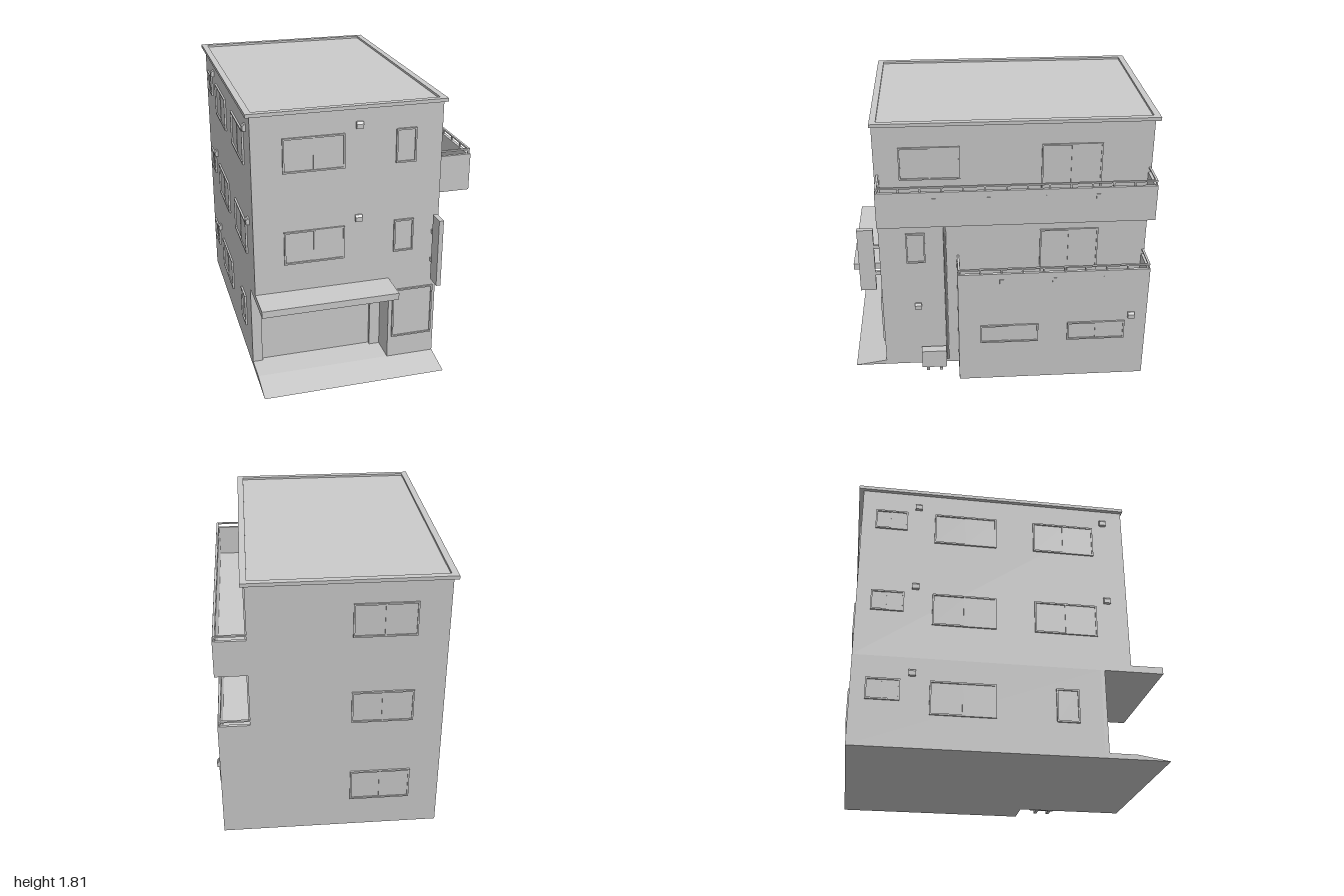
import * as THREE from 'three';

const mat = new THREE.MeshStandardMaterial({ color: 0xcccccc, flatShading: true });

// Box given by its min and max on each axis
function box(parent, name, x0, x1, y0, y1, z0, z1) {
  const mesh = new THREE.Mesh(new THREE.BoxGeometry(x1 - x0, y1 - y0, z1 - z0), mat);
  mesh.position.set((x0 + x1) / 2, (y0 + y1) / 2, (z0 + z1) / 2);
  mesh.name = name;
  parent.add(mesh);
  return mesh;
}

function rect(Type, x0, x1, y0, y1) {
  const r = new Type();
  r.moveTo(x0, y0);
  r.lineTo(x1, y0);
  r.lineTo(x1, y1);
  r.lineTo(x0, y1);
  r.closePath();
  return r;
}

// Rectangular ring, extruded along z from z = 0
function ring(x0, x1, y0, y1, t, depth) {
  const s = rect(THREE.Shape, x0, x1, y0, y1);
  s.holes.push(rect(THREE.Path, x0 + t, x1 - t, y0 + t, y1 - t));
  return new THREE.ExtrudeGeometry(s, { depth, bevelEnabled: false });
}

// Profile in (z, y), extruded along x
function sideProfile(points, x0, x1) {
  const s = new THREE.Shape(points.map(([z, y]) => new THREE.Vector2(-z, y)));
  const g = new THREE.ExtrudeGeometry(s, { depth: x1 - x0, bevelEnabled: false });
  return g.rotateY(Math.PI / 2).translate(x0, 0, 0);
}

// Walls: placing a part at distance u along the wall, facing outwards
const walls = {
  front: u => [u, 0.79, 0],
  back: u => [u, -0.97, Math.PI],
  left: u => [0.5, u, Math.PI / 2],
  wing: u => [0.7, u, Math.PI / 2],
  right: u => [-0.7, u, -Math.PI / 2],
};

function mount(parent, name, wall, u, y) {
  const g = new THREE.Group();
  const [x, z, turn] = walls[wall](u);
  g.position.set(x, y, z);
  g.rotation.y = turn;
  g.name = name;
  parent.add(g);
  return g;
}

// Framed window with one or two sliding panes
function addWindow(parent, wall, u0, u1, y0, y1, panes = 2) {
  const g = mount(parent, 'window', wall, (u0 + u1) / 2, (y0 + y1) / 2);
  const w = (u1 - u0) / 2, h = (y1 - y0) / 2, t = 0.01;
  const frame = new THREE.Mesh(ring(-w, w, -h, h, t, 0.012), mat);
  frame.name = 'windowFrame';
  g.add(frame);
  if (panes === 1) {
    box(g, 'pane', -w + t, w - t, -h + t, h - t, -0.005, 0.003);
  } else {
    box(g, 'backPane', -w + t, 0, -h + t, h - t, -0.005, 0.002);
    box(g, 'frontPane', 0, w - t, -h + t, h - t, -0.005, 0.005);
    box(g, 'mullion', -0.005, 0.005, -h + t, h - t, 0, 0.008);
  }
}

// Hooded wall vent
function addVent(parent, wall, u, y) {
  const g = mount(parent, 'vent', wall, u, y);
  const hood = new THREE.Mesh(
    sideProfile([[0, -0.02], [0.022, -0.02], [0.022, 0.008], [0.01, 0.022], [0, 0.022]], -0.022, 0.022), mat);
  hood.name = 'ventHood';
  g.add(hood);
}

// Balcony tray with parapet, handrail and drain spouts
function addBalcony(parent, y0, floorY, top, zFront, spouts) {
  const g = new THREE.Group();
  g.name = 'balcony';
  parent.add(g);
  const x0 = 0.5, x1 = 0.7, zBack = -0.97, t = 0.02;
  box(g, 'balconyBase', x0, x1, y0, floorY, zBack, zFront);
  box(g, 'sideParapet', x1 - t, x1, floorY, top, zBack, zFront);
  box(g, 'frontParapet', x0, x1 - t, floorY, top, zFront - t, zFront);
  box(g, 'backParapet', x0, x1 - t, floorY, top, zBack, zBack + t);
  const r0 = top + 0.025, r1 = top + 0.035;
  box(g, 'sideRail', x1 - 0.018, x1 - 0.004, r0, r1, zBack + 0.003, zFront - 0.003);
  for (const z of [zBack + 0.003, zFront - 0.017]) box(g, 'endRail', x0, x1 - 0.018, r0, r1, z, z + 0.014);
  const n = Math.round((zFront - zBack) / 0.137);
  for (let i = 0; i <= n; i++) {
    const z = zBack + 0.01 + (zFront - zBack - 0.02) * i / n;
    box(g, 'railPost', x1 - 0.016, x1 - 0.006, top, r0, z - 0.005, z + 0.005);
  }
  for (const z of spouts) box(g, 'drainSpout', x1, x1 + 0.004, top - 0.072, top - 0.042, z - 0.013, z + 0.013);
}

export function createModel() {
  const house = new THREE.Group();
  house.name = 'building';

  // Main walls, with the garage set back under the upper floors
  box(house, 'groundFloor', -0.7, 0.5, 0, 0.585, -0.97, 0.59);
  box(house, 'entranceBlock', 0.18, 0.5, 0, 0.585, 0.59, 0.79);
  box(house, 'upperFloors', -0.7, 0.5, 0.585, 1.79, -0.97, 0.79);

  // Roof slab with a low rim
  box(house, 'roofSlab', -0.725, 0.525, 1.79, 1.798, -1, 0.8);
  const rim = new THREE.Mesh(ring(-0.725, 0.525, -0.8, 1, 0.04, 0.014), mat);
  rim.rotation.x = -Math.PI / 2;
  rim.position.y = 1.798;
  rim.name = 'roofRim';
  house.add(rim);

  // Garage: sloped apron, surround, shutter and canopy
  const apron = new THREE.Mesh(sideProfile([[1, 0], [0.79, 0.033], [0.59, 0.033], [0.59, 0]], -0.7, 0.18), mat);
  apron.name = 'garageApron';
  house.add(apron);
  const ramp = new THREE.Mesh(sideProfile([[1, 0], [0.79, 0.033], [0.79, 0]], 0.18, 0.5), mat);
  ramp.name = 'entranceRamp';
  house.add(ramp);
  box(house, 'garageSideWall', -0.7, -0.635, 0.033, 0.585, 0.59, 0.615);
  box(house, 'garageSideWall', 0.11, 0.18, 0.033, 0.585, 0.59, 0.615);
  box(house, 'garageLintel', -0.635, 0.11, 0.54, 0.585, 0.59, 0.615);
  box(house, 'shutterTop', -0.635, 0.11, 0.43, 0.54, 0.59, 0.6);
  box(house, 'shutterHandle', -0.45, -0.08, 0.424, 0.43, 0.59, 0.603);
  box(house, 'canopy', -0.7, 0.175, 0.585, 0.63, 0.79, 1);

  // Side wing topped by a terrace, and the upper balcony
  addBalcony(house, 0, 0.63, 0.83, 0.285, [0, -0.345, -0.68]);
  addBalcony(house, 1.19, 1.22, 1.43, 0.78, [0.42, 0.08, -0.265, -0.6]);

  // Windows and vents that repeat on each floor
  [0.215, 0.82, 1.425].forEach((y, floor) => {
    const top = y + 0.22;
    addWindow(house, 'back', -0.51, -0.125, y, top);
    addWindow(house, 'right', -0.88, -0.67, y + 0.08, top, 2);
    addWindow(house, 'right', -0.49, -0.08, y, top);
    addVent(house, 'right', -0.6, y + 0.265);
    if (floor === 0) {
      addWindow(house, 'right', 0.295, 0.44, y, top, 1);
    } else {
      addWindow(house, 'right', 0.17, 0.58, y, top);
      addVent(house, 'right', 0.655, y + 0.265);
      addWindow(house, 'front', -0.51, -0.125, y, top);
      addWindow(house, 'front', 0.2, 0.33, y, top, 1);
      addVent(house, 'front', -0.035, y + 0.265);
      addWindow(house, 'left', -0.65, -0.265, floor === 1 ? 0.645 : 1.235, top);
    }
  });

  // Single windows and vents
  addWindow(house, 'front', 0.205, 0.48, 0.185, 0.54, 1);
  addWindow(house, 'left', 0.25, 0.635, 1.425, 1.645);
  addWindow(house, 'left', 0.49, 0.615, 0.82, 1.04, 1);
  addWindow(house, 'wing', -0.245, 0.14, 0.3, 0.435);
  addWindow(house, 'wing', -0.825, -0.44, 0.3, 0.435);
  addVent(house, 'left', 0.55, 0.48);
  addVent(house, 'wing', -0.865, 0.48);

  // Blank projecting sign on two brackets
  box(house, 'signPanel', 0.45, 0.48, 0.605, 1.06, 0.825, 0.93);
  for (const y of [0.73, 0.93]) box(house, 'signBracket', 0.455, 0.475, y - 0.013, y + 0.013, 0.79, 0.825);

  // Pipe running down the side wall
  const path = new THREE.CatmullRomCurve3([
    [0.5, 1.07, 0.36], [0.51, 1.065, 0.36], [0.513, 1.04, 0.36], [0.513, 0.07, 0.36], [0.52, 0.04, 0.36],
  ].map(p => new THREE.Vector3(...p)), false, 'centripetal');
  const pipe = new THREE.Mesh(new THREE.TubeGeometry(path, 32, 0.009, 8), mat);
  pipe.name = 'drainPipe';
  house.add(pipe);

  // Outdoor air unit on feet
  box(house, 'airUnit', 0.52, 0.58, 0.018, 0.15, 0.37, 0.54);
  for (const z of [0.4, 0.49]) box(house, 'airUnitFoot', 0.51, 0.59, 0, 0.018, z, z + 0.02);

  return house;
}
